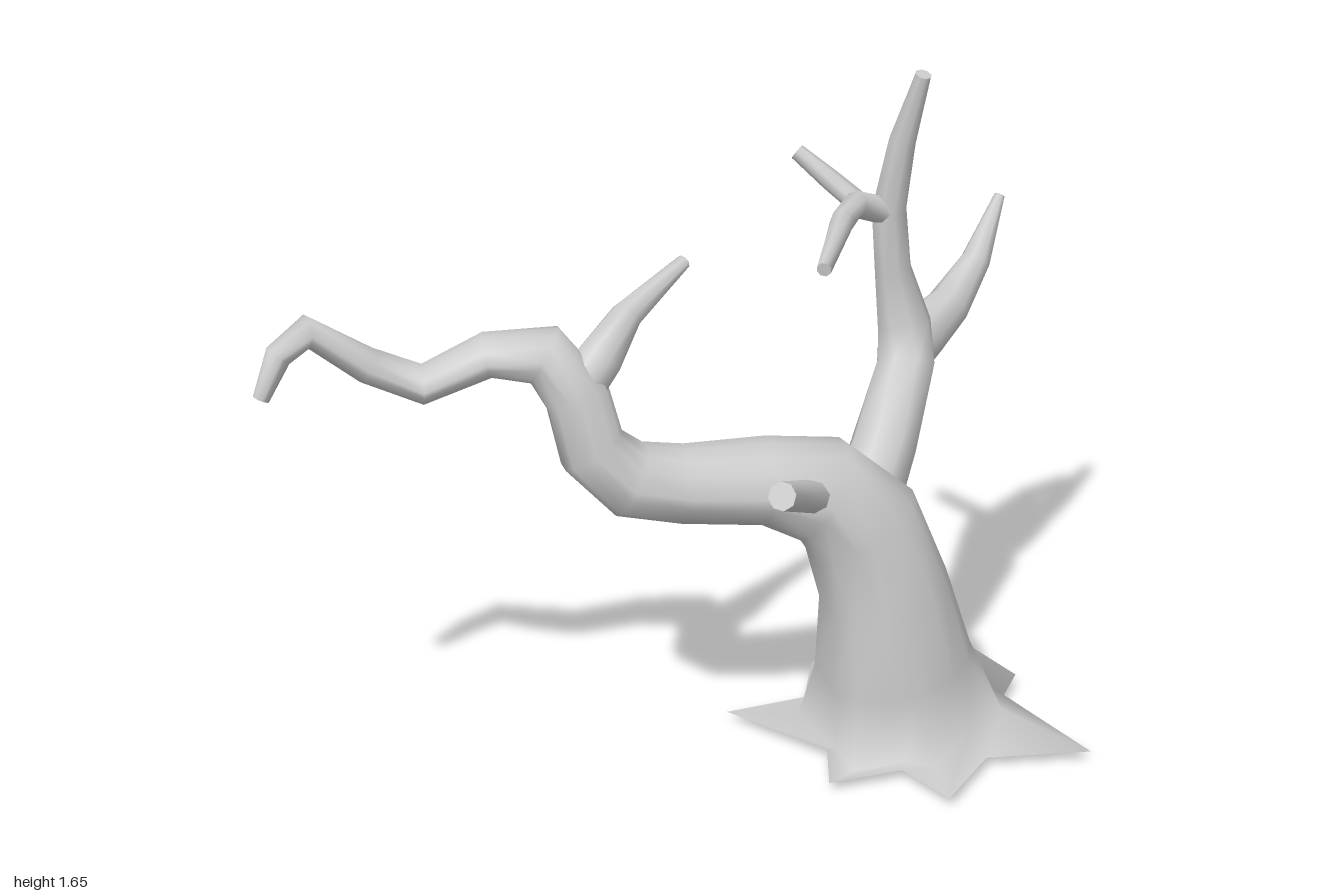
import * as THREE from 'three';

const material = new THREE.MeshStandardMaterial({ color: 0xcccccc, side: THREE.DoubleSide });
const Z = new THREE.Vector3(0, 0, 1);

// Lofts a tapering limb through nodes [x, y, z, radius, depthRadius?].
// angles sets the corners of every section; base is an optional ready-made first ring.
function limb(name, nodes, angles, base = []) {
  const n = angles.length;
  const centres = nodes.map(([x, y, z]) => new THREE.Vector3(x, y, z));
  const rings = base.length ? [base] : [];
  nodes.forEach(([, , , r, rz = r, flare = 1], i) => {
    const c = centres[i];
    const t = new THREE.Vector3();
    if (i > 0) t.add(c.clone().sub(centres[i - 1]).normalize());
    if (i < nodes.length - 1) t.add(centres[i + 1].clone().sub(c).normalize());
    t.normalize();
    const u = t.clone().cross(Z).normalize();
    const v = u.clone().cross(t);
    rings.push(angles.map((a, j) => {
      const k = j % 2 ? flare : 1;
      return c.clone().addScaledVector(u, Math.cos(a) * r * k).addScaledVector(v, Math.sin(a) * rz * k);
    }));
  });

  const points = rings.flat();
  const index = [];
  for (let i = 0; i < rings.length - 1; i++) {
    for (let j = 0; j < n; j++) {
      const a = i * n + j, b = i * n + (j + 1) % n;
      index.push(a, a + n, b, b, a + n, b + n);
    }
  }
  // flat cut end with its own vertices
  const cap = points.length;
  points.push(...rings[rings.length - 1].map((p) => p.clone()), centres[centres.length - 1]);
  for (let j = 0; j < n; j++) index.push(cap + j, cap + n, cap + (j + 1) % n);

  const geometry = new THREE.BufferGeometry().setFromPoints(points);
  geometry.setIndex(index);
  geometry.computeVertexNormals();
  const mesh = new THREE.Mesh(geometry, material);
  mesh.name = name;
  return mesh;
}

export function createModel() {
  const tree = new THREE.Group();
  tree.name = 'bareTree';

  // Root outline on the ground: tips and hollows in turn
  const roots = [
    [0.98, 0.36], [0.72, 0.33], [0.57, 0.5], [0.5, 0.34], [0.31, 0.36], [0.35, 0.2], [0.16, -0.05],
    [0.37, -0.08], [0.44, -0.26], [0.55, -0.16], [0.66, -0.24], [0.75, -0.07], [0.93, -0.07], [0.8, 0.13],
  ];
  const rootRing = roots.map(([x, z]) => new THREE.Vector3(x, 0, z));
  const rootAngles = roots.map(([x, z]) => Math.atan2(z - 0.1, x - 0.57));

  // Trunk that bends over into the long crooked branch
  tree.add(limb('trunkAndLongBranch', [
    [0.57, 0.05, 0.1, 0.26, 0.25, 0.84],
    [0.535, 0.2, 0.13, 0.195, 0.19],
    [0.505, 0.4, 0.13, 0.16, 0.165],
    [0.44, 0.58, 0.13, 0.152, 0.14],
    [0.34, 0.68, 0.13, 0.135, 0.13],
    [0.2, 0.715, 0.125, 0.105, 0.12],
    [0, 0.728, 0.125, 0.095, 0.1],
    [-0.13, 0.755, 0.125, 0.095, 0.09],
    [-0.22, 0.84, 0.12, 0.085, 0.08],
    [-0.25, 0.97, 0.1, 0.08, 0.075],
    [-0.32, 1.07, 0.07, 0.075, 0.075],
    [-0.45, 1.07, 0.04, 0.053, 0.065],
    [-0.6, 1.0, 0.015, 0.046, 0.06],
    [-0.73, 1.06, 0.01, 0.042, 0.05],
    [-0.87, 1.165, 0.03, 0.04, 0.042],
    [-0.94, 1.12, 0.05, 0.032, 0.035],
    [-0.985, 1.02, 0.06, 0.02, 0.02],
  ], rootAngles, rootRing));

  const octagon = Array.from({ length: 8 }, (_, i) => (i / 8) * Math.PI * 2);
  const branches = {
    upperTwig: [
      [-0.26, 0.96, 0.1, 0.06], [-0.19, 1.05, 0.08, 0.058], [-0.11, 1.13, 0.02, 0.038], [0.06, 1.2, -0.11, 0.018],
    ],
    brokenStub: [[0.36, 0.66, 0.14, 0.045], [0.28, 0.72, 0.25, 0.04], [0.17, 0.8, 0.4, 0.035]],
    tallBranch: [
      [0.44, 0.55, 0.11, 0.09], [0.54, 0.71, -0.01, 0.083], [0.64, 0.86, -0.16, 0.075],
      [0.645, 0.95, -0.2, 0.068], [0.61, 1.1, -0.195, 0.046], [0.595, 1.26, -0.19, 0.044],
      [0.62, 1.43, -0.18, 0.035], [0.65, 1.62, -0.12, 0.02],
    ],
    sideBranch: [
      [0.62, 0.87, -0.15, 0.065], [0.7, 0.9, -0.24, 0.068], [0.8, 0.93, -0.33, 0.055],
      [0.9, 1.01, -0.42, 0.038], [0.985, 1.15, -0.5, 0.014],
    ],
    forwardTwig: [
      [0.6, 1.25, -0.19, 0.035], [0.5, 1.29, -0.16, 0.034], [0.43, 1.3, -0.03, 0.03], [0.325, 1.265, 0.18, 0.018],
    ],
    backTwig: [[0.52, 1.28, -0.17, 0.028], [0.45, 1.34, -0.21, 0.026], [0.38, 1.4, -0.26, 0.02]],
  };
  for (const [name, nodes] of Object.entries(branches)) tree.add(limb(name, nodes, octagon));

  return tree;
}
